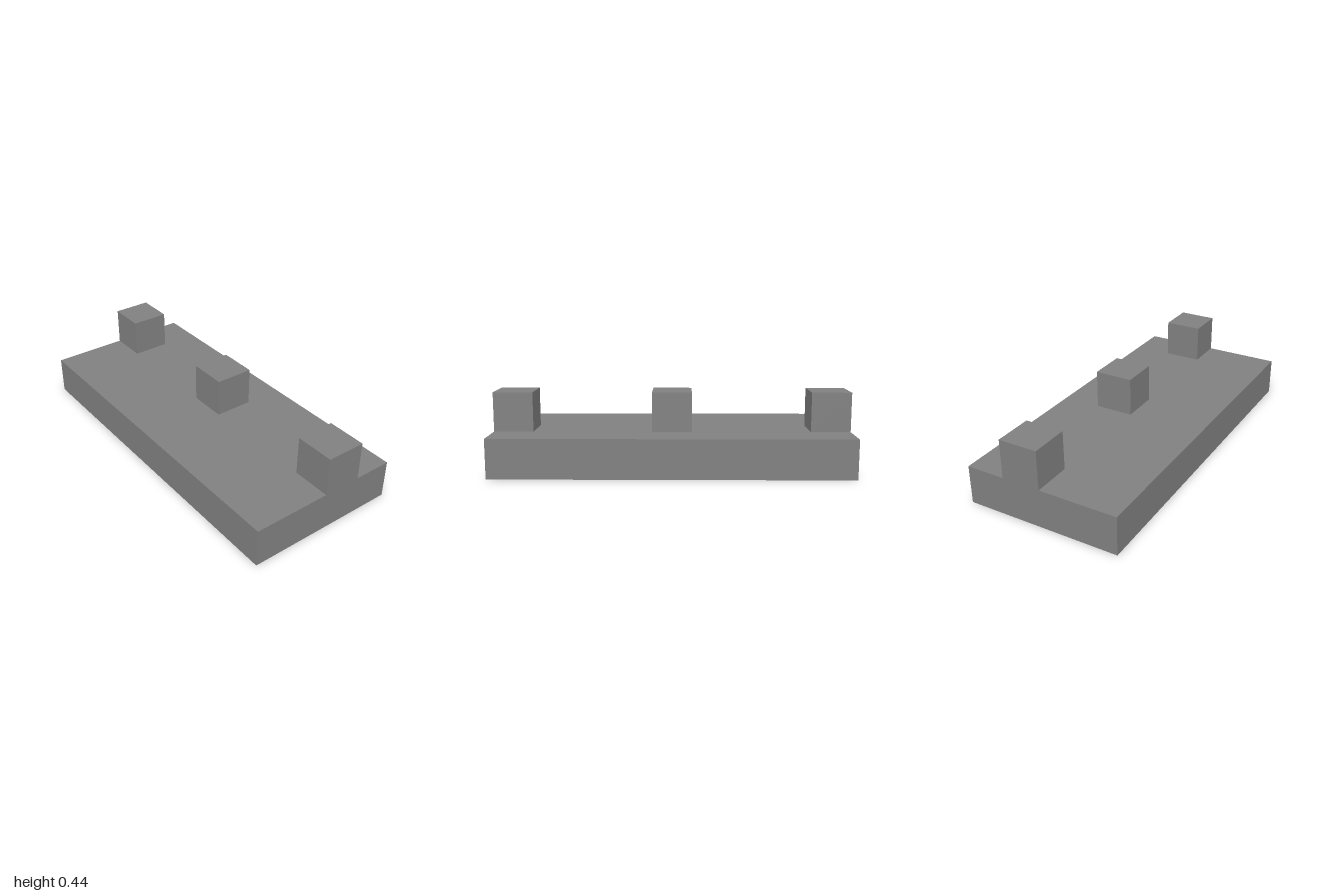
import * as THREE from 'three';

const UNIT = 2 / 9; // edge of one stud cube

export function createModel() {
  const model = new THREE.Group();
  model.name = 'studdedSlab';

  const grey = new THREE.MeshStandardMaterial({ color: 0x808080 });
  grey.name = 'grey';

  // Slab: 4 x 1 x 9 units
  const slab = new THREE.Mesh(new THREE.BoxGeometry(4 * UNIT, UNIT, 9 * UNIT), grey);
  slab.name = 'slab';
  slab.position.y = UNIT / 2;
  model.add(slab);

  // Three cubes along the length, flush with both ends
  const cube = new THREE.BoxGeometry(UNIT, UNIT, UNIT);
  const places = { frontCube: 4, middleCube: 0, backCube: -4 };
  for (const [name, z] of Object.entries(places)) {
    const mesh = new THREE.Mesh(cube, grey);
    mesh.name = name;
    mesh.position.set(UNIT / 2, 1.5 * UNIT, z * UNIT);
    model.add(mesh);
  }
  return model;
}
